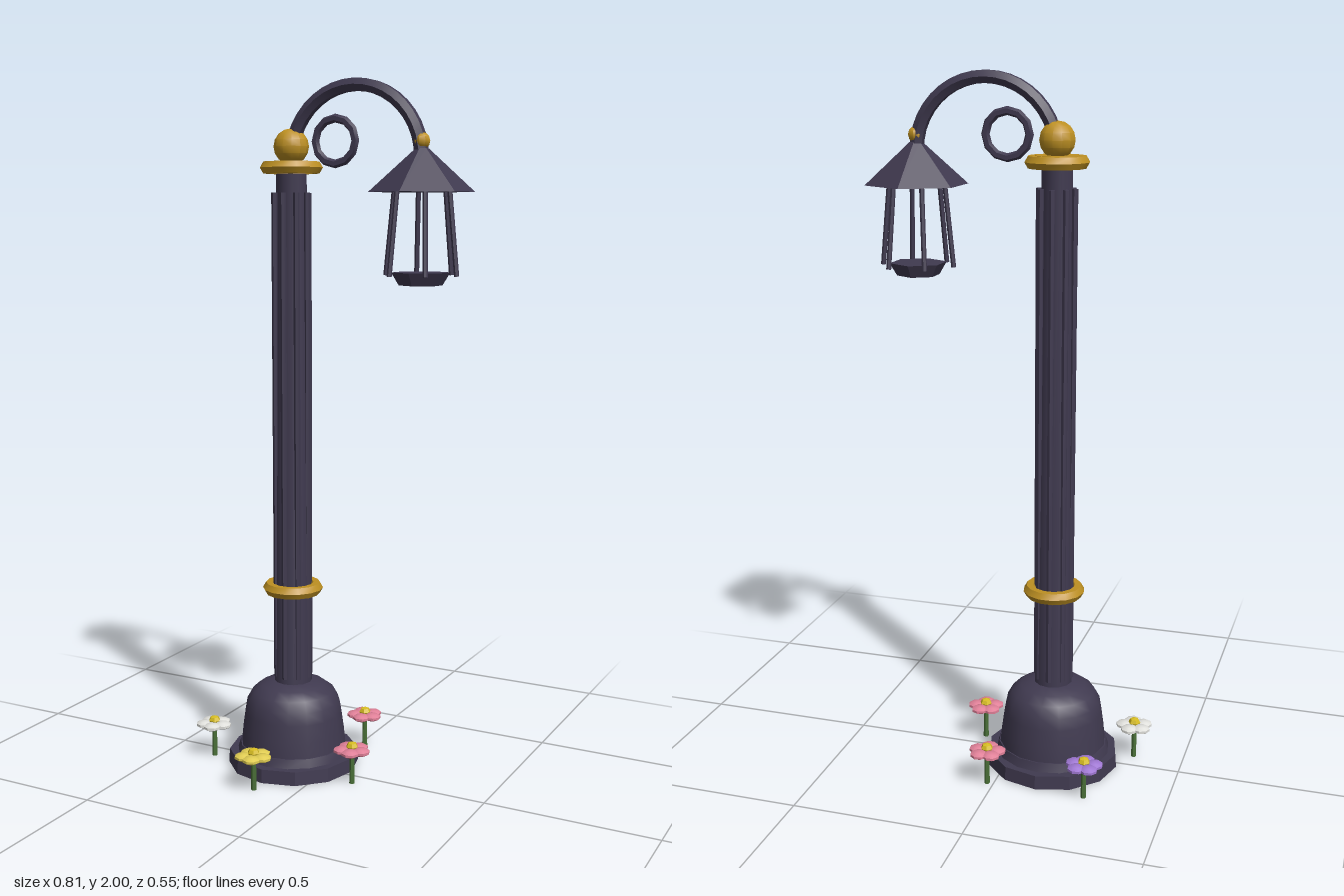
import * as THREE from 'three';
import { toCreasedNormals } from 'three/addons/utils/BufferGeometryUtils.js';

const mat = (name, color) => {
  const m = new THREE.MeshStandardMaterial({ color });
  m.name = name;
  return m;
};

export function createModel() {
  const iron = mat('dark iron', 0x403a50);
  const gold = mat('brass', 0xbd9022);
  const green = mat('stem green', 0x4a7038);
  const heart = mat('flower centre yellow', 0xd6bc22);
  const pink = mat('pink petal', 0xe08098);
  const purple = mat('purple petal', 0xa078d4);
  const white = mat('white petal', 0xe0e0dc);
  const yellow = mat('yellow petal', 0xe0cc52);

  const model = new THREE.Group();
  model.name = 'streetLamp';

  // Adds a mesh; edges sharper than the crease angle stay hard.
  const add = (parent, name, geo, material, x = 0, y = 0, z = 0, crease = 0.6) => {
    const mesh = new THREE.Mesh(toCreasedNormals(geo, crease), material);
    mesh.name = name;
    mesh.position.set(x, y, z);
    parent.add(mesh);
    return mesh;
  };
  const cyl = (top, bottom, h, sides) => new THREE.CylinderGeometry(top, bottom, h, sides);
  const lathe = (pts, sides) =>
    new THREE.LatheGeometry(pts.map(([r, y]) => new THREE.Vector2(r, y)), sides);

  // A straight rod between two points.
  const rod = (parent, name, a, b, r, material) => {
    const dir = b.clone().sub(a);
    const mid = a.clone().add(b).multiplyScalar(0.5);
    const mesh = add(parent, name, cyl(r, r, dir.length(), 6), material, mid.x, mid.y, mid.z);
    mesh.quaternion.setFromUnitVectors(new THREE.Vector3(0, 1, 0), dir.normalize());
  };

  // ---- Post, standing on the group's own origin ----
  const post = new THREE.Group();
  post.name = 'post';
  post.position.set(-0.123, 0, -0.023);
  model.add(post);

  add(post, 'plinth', cyl(0.192, 0.195, 0.04, 12), iron, 0, 0.02, 0, 0.3);
  add(post, 'plinthStep', cyl(0.16, 0.168, 0.025, 16), iron, 0, 0.0525);
  add(post, 'bellBase', lathe([
    [0.157, 0.06], [0.152, 0.11], [0.145, 0.16], [0.139, 0.195],
    [0.122, 0.225], [0.095, 0.245], [0.058, 0.255], [0, 0.26],
  ], 16), iron);
  add(post, 'shaft', cyl(0.043, 0.056, 1.5, 12), iron, 0, 1.0, 0);

  // Raised flutes around the shaft
  for (let i = 0; i < 8; i++) {
    const a = (i / 8) * Math.PI * 2;
    add(post, 'flute', cyl(0.009, 0.009, 1.42, 6), iron,
      Math.cos(a) * 0.05, 0.98, Math.sin(a) * 0.05);
  }

  // Brass rings, cap and ball
  for (const y of [0.54, 1.76]) {
    const ring = new THREE.TorusGeometry(0.07, 0.019, 6, 14).rotateX(Math.PI / 2);
    add(post, 'brassRing', ring, gold, 0, y, 0);
  }
  add(post, 'capPlate', cyl(0.06, 0.066, 0.035, 14), gold, 0, 1.76, 0);
  add(post, 'ball', new THREE.SphereGeometry(0.05, 12, 8), gold, 0, 1.818, 0);

  // ---- Arched arm and scroll ----
  const arc = [];
  for (let i = 0; i <= 12; i++) {
    const a = Math.PI * (1 - i / 12);
    arc.push(new THREE.Vector3(0.2 + Math.cos(a) * 0.2, 1.78 + Math.sin(a) * 0.2, 0));
  }
  add(post, 'arm', new THREE.TubeGeometry(new THREE.CatmullRomCurve3(arc), 20, 0.02, 6), iron);
  add(post, 'scroll', new THREE.TorusGeometry(0.062, 0.012, 6, 12), iron, 0.139, 1.83, 0);

  // ---- Lantern ----
  const lantern = new THREE.Group();
  lantern.name = 'lantern';
  lantern.position.set(0.278, 0, -0.023);
  model.add(lantern);
  add(lantern, 'hangerBall', new THREE.SphereGeometry(0.023, 8, 6), gold, 0, 1.825, 0);
  add(lantern, 'roof', cyl(0.018, 0.145, 0.115, 6), iron, 0, 1.7475, 0);
  for (let i = 0; i < 6; i++) {
    const a = (i / 6) * Math.PI * 2;
    const at = (r, y) => new THREE.Vector3(Math.cos(a) * r, y, Math.sin(a) * r);
    rod(lantern, 'cageBar', at(0.081, 1.70), at(0.105, 1.465), 0.007, iron);
  }
  add(lantern, 'pan', cyl(0.081, 0.06, 0.035, 6), iron, 0, 1.457, 0);

  // ---- Flowers around the base: x, z, turn, petal colour ----
  const flowers = [
    [-0.268, -0.22, 0.25, purple], [0.019, -0.222, 0.25, pink], [0.11, 0.049, 0.05, pink],
    [-0.119, 0.221, 0, yellow], [-0.354, 0.056, 0, white],
  ];
  for (const [x, z, turn, petalMat] of flowers) {
    const flower = new THREE.Group();
    flower.name = 'flower';
    flower.position.set(x, 0, z);
    flower.rotation.y = -turn;
    model.add(flower);
    add(flower, 'stem', cyl(0.007, 0.008, 0.1, 6), green, 0, 0.05, 0);
    add(flower, 'centre', new THREE.SphereGeometry(0.018, 6, 4).scale(1, 0.8, 1), heart, 0, 0.112, 0);
    for (let i = 0; i < 5; i++) {
      const a = (i / 5) * Math.PI * 2;
      const petal = new THREE.SphereGeometry(0.027, 8, 5).scale(1, 0.42, 1);
      add(flower, 'petal', petal, petalMat, Math.cos(a) * 0.029, 0.101, Math.sin(a) * 0.029);
    }
  }
  return model;
}
